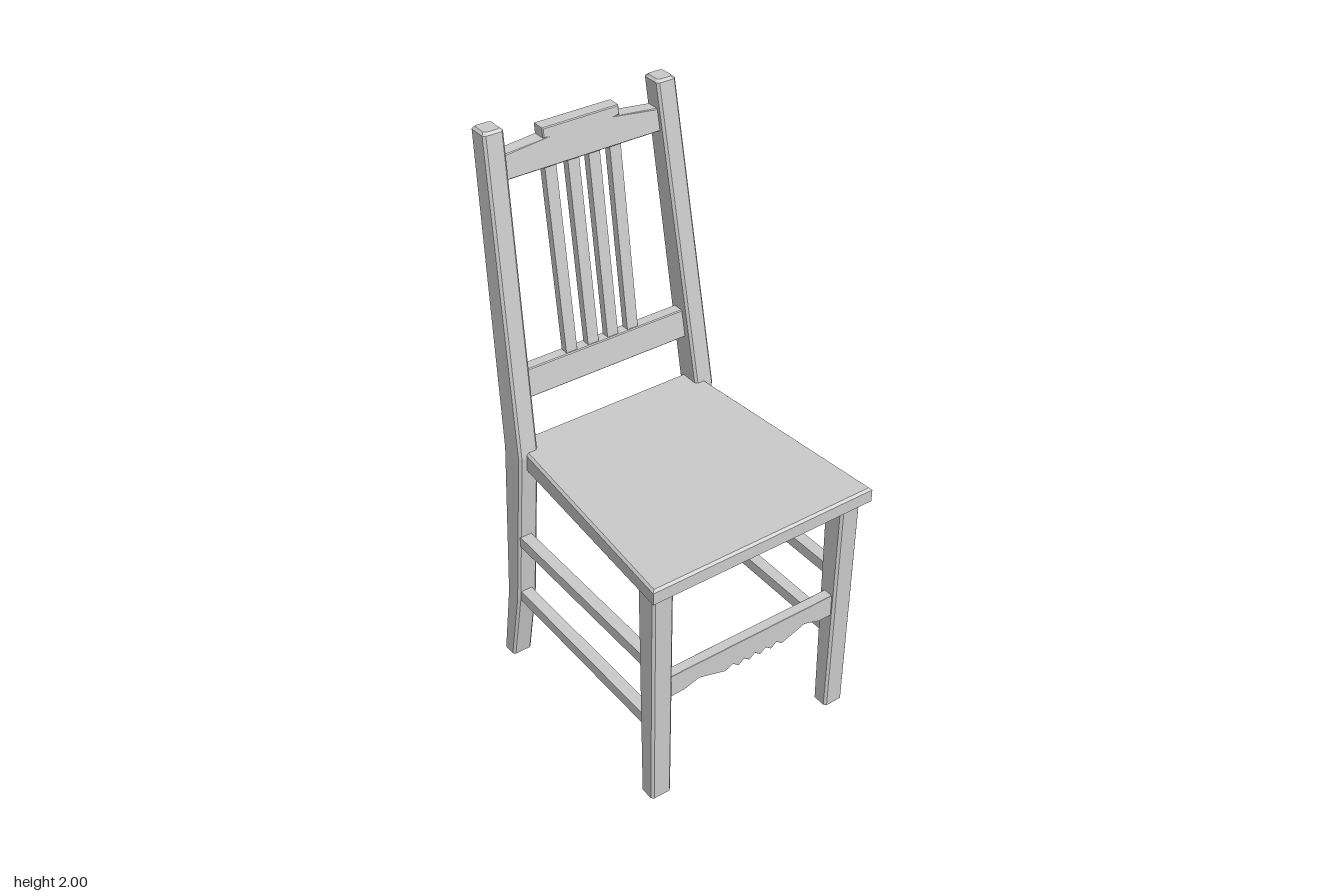
import * as THREE from 'three';

const material = new THREE.MeshStandardMaterial({ color: 0xcccccc, flatShading: true });

function addMesh(parent, name, geometry) {
  const mesh = new THREE.Mesh(geometry, material);
  mesh.name = name;
  parent.add(mesh);
  return mesh;
}

// Chamfered rectangular post lofted upwards through sections [x, y, z, width, depth]
function post(sections, c = 0.008) {
  const inset = (s, dy) => [s[0], s[1] + dy, s[2], s[3] - 2 * c, s[4] - 2 * c];
  const first = sections[0], last = sections[sections.length - 1];
  const rings = [
    inset(first, 0), [first[0], first[1] + c, ...first.slice(2)],
    ...sections.slice(1, -1),
    [last[0], last[1] - c, ...last.slice(2)], inset(last, 0),
  ];
  const pos = [], idx = [];
  for (const [x, y, z, w, d] of rings) {
    const a = w / 2, b = d / 2;
    const outline = [
      [a, b - c], [a - c, b], [c - a, b], [-a, b - c],
      [-a, c - b], [c - a, -b], [a - c, -b], [a, c - b],
    ];
    for (const [u, v] of outline) pos.push(x + u, y, z + v);
  }
  for (let r = 0; r < rings.length - 1; r++) {
    for (let i = 0; i < 8; i++) {
      const a = r * 8 + i, b = r * 8 + (i + 1) % 8;
      idx.push(a, b, a + 8, b, b + 8, a + 8);
    }
  }
  // end caps
  const top = (rings.length - 1) * 8;
  for (let i = 1; i < 7; i++) {
    idx.push(0, i + 1, i);
    idx.push(top, top + i, top + i + 1);
  }
  // outline runs clockwise seen from above, so flip every face outwards
  for (let i = 0; i < idx.length; i += 3) [idx[i + 1], idx[i + 2]] = [idx[i + 2], idx[i + 1]];
  const g = new THREE.BufferGeometry();
  g.setAttribute('position', new THREE.Float32BufferAttribute(pos, 3));
  g.setIndex(idx);
  g.computeVertexNormals();
  return g;
}

// Board with a given front outline, centred on z = 0
function board(points, thickness, bevel = 0.003) {
  const shape = new THREE.Shape(points.map(([x, y]) => new THREE.Vector2(x, y)));
  const g = new THREE.ExtrudeGeometry(shape, {
    depth: thickness - 2 * bevel, bevelEnabled: true, bevelSegments: 1,
    bevelThickness: bevel, bevelSize: bevel, bevelOffset: -bevel,
  });
  return g.translate(0, 0, bevel - thickness / 2);
}

// Lean a geometry backwards along the slope of the backrest
function lean(g) {
  const p = g.attributes.position;
  for (let i = 0; i < p.count; i++) p.setZ(i, p.getZ(i) - 0.362 - (p.getY(i) - 1.15) * 0.128);
  g.computeVertexNormals();
  return g;
}

export function createModel() {
  const chair = new THREE.Group();
  chair.name = 'chair';

  // Seat: tapers to the rear, underside dips slightly at the back
  const seat = board([[-0.42, -0.503], [0.42, -0.503], [0.35, 0.36], [-0.355, 0.36]], 0.06, 0.008);
  seat.rotateX(-Math.PI / 2).translate(0, 0.905, 0);
  const sp = seat.attributes.position;
  for (let i = 0; i < sp.count; i++) {
    if (sp.getY(i) < 0.905) sp.setY(i, sp.getY(i) - 0.018 * (0.5 - sp.getZ(i)) / 0.86);
  }
  seat.computeVertexNormals();
  addMesh(chair, 'seat', seat);

  for (const side of [-1, 1]) {
    const label = side > 0 ? 'left' : 'right';

    // Front leg, tapering towards the floor
    addMesh(chair, label + 'FrontLeg', post([
      [side * 0.362, 0, 0.43, 0.076, 0.062],
      [side * 0.362, 0.89, 0.434, 0.076, 0.084],
    ]));

    // Rear leg continuing into the leaning back post
    const topX = side > 0 ? 0.299 : -0.322;
    addMesh(chair, label + 'BackPost', post([
      [side * 0.366, 0, -0.41, 0.074, 0.06],
      [side * 0.363, 0.3, -0.361, 0.073, 0.072],
      [side * 0.352, 0.92, -0.328, 0.071, 0.098],
      [topX, 2, -0.4625, 0.071, 0.075],
    ]));

    // Two side stretchers
    for (const [name, y, rear] of [['Upper', 0.565, -0.33], ['Lower', 0.315, -0.35]]) {
      const g = new THREE.BoxGeometry(0.042, 0.042, 0.42 - rear);
      g.translate(side * 0.368, y, (0.42 + rear) / 2);
      addMesh(chair, label + name + 'Stretcher', g);
    }
  }

  // Front stretcher with a scalloped lower edge
  const apron = [[0.34, 0.505], [-0.34, 0.505], [-0.34, 0.42], [-0.27, 0.422], [-0.213, 0.44], [-0.11, 0.41]];
  for (let i = 0; i < 5; i++) {
    const x = -0.07 + i * 0.044;
    apron.push([x - 0.008, 0.424], [x + 0.014, 0.406]);
  }
  apron.push([0.213, 0.44], [0.275, 0.42], [0.34, 0.42]);
  addMesh(chair, 'frontStretcher', board(apron, 0.036, 0.001).translate(0, 0, 0.438));

  // Backrest: lower rail, four slats and a stepped top rail
  const back = new THREE.Group();
  back.name = 'backrest';
  chair.add(back);
  addMesh(back, 'lowerRail', lean(board(
    [[-0.34, 1.1], [0.33, 1.1], [0.33, 1.2], [-0.34, 1.2]], 0.042)));
  for (const x of [-0.128, -0.045, 0.031, 0.109]) {
    addMesh(back, 'slat', lean(new THREE.BoxGeometry(0.041, 0.68, 0.028).translate(x, 1.515, 0)));
  }
  addMesh(back, 'topRail', lean(board([
    [-0.32, 1.83], [0.295, 1.83], [0.295, 1.903], [0.26, 1.905], [0.105, 1.922],
    [0.128, 1.922], [0.128, 1.954], [-0.148, 1.954], [-0.148, 1.922],
    [-0.13, 1.922], [-0.285, 1.91], [-0.32, 1.908],
  ], 0.05)));

  return chair;
}
